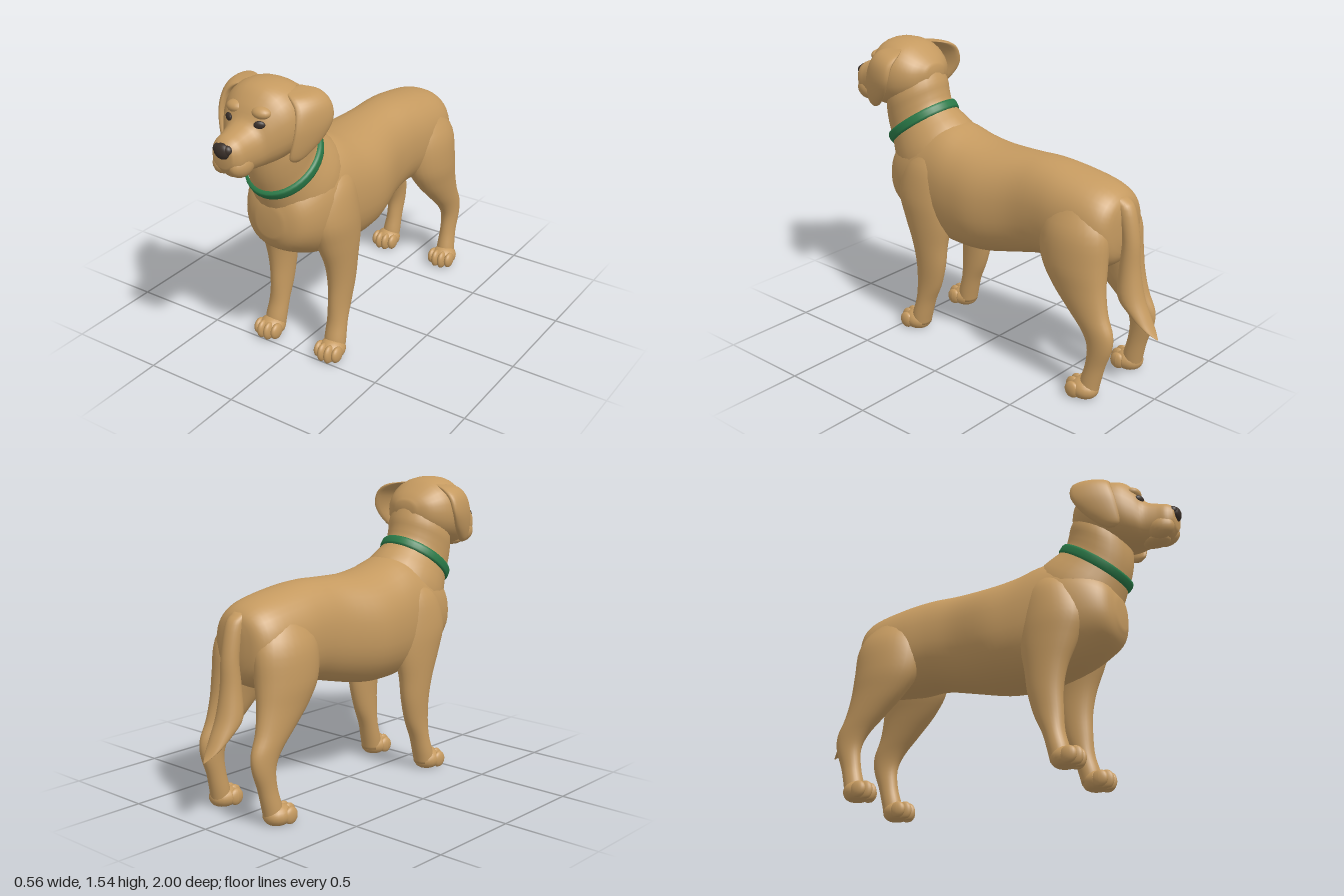
import * as THREE from 'three';

const mat = (name, color) => {
  const m = new THREE.MeshStandardMaterial({ color });
  m.name = name;
  return m;
};

// Smooth loft through sections [x, y, z, halfWidth, halfDepth, tilt].
// Tilt 0 puts a ring upright facing +z, PI/2 lays it flat facing down.
function loft(sections, { yaw = 0, power = 1, steps = 4, sides = 28 } = {}) {
  const curve = (pick) => new THREE.CatmullRomCurve3(
    sections.map((s) => new THREE.Vector3(...pick(s))), false, 'catmullrom', 0.5);
  const centers = curve((s) => s.slice(0, 3));
  const sizes = curve((s) => [s[3], s[4], s[5] ?? 0]);
  const rings = (sections.length - 1) * steps;
  const up = new THREE.Vector3(0, 1, 0);
  const round = (c) => Math.sign(c) * Math.abs(c) ** power;
  const pos = [], index = [];
  for (let i = 0; i <= rings; i++) {
    const c = centers.getPoint(i / rings), r = sizes.getPoint(i / rings);
    const u = new THREE.Vector3(1, 0, 0).applyAxisAngle(up, yaw);
    const v = new THREE.Vector3(0, Math.cos(r.z), Math.sin(r.z)).applyAxisAngle(up, yaw);
    for (let j = 0; j < sides; j++) {
      const a = (j / sides) * Math.PI * 2;
      const p = c.clone()
        .addScaledVector(u, round(Math.cos(a)) * Math.max(r.x, 0.002))
        .addScaledVector(v, round(Math.sin(a)) * Math.max(r.y, 0.002));
      pos.push(p.x, p.y, p.z);
      if (i < rings) {
        const k = i * sides + j, n = i * sides + ((j + 1) % sides);
        index.push(k, n, n + sides, k, n + sides, k + sides);
      }
    }
  }
  // End caps
  const first = pos.length / 3, last = first + 1, base = rings * sides;
  pos.push(...centers.getPoint(0).toArray(), ...centers.getPoint(1).toArray());
  for (let j = 0; j < sides; j++) {
    const n = (j + 1) % sides;
    index.push(first, n, j, last, base + j, base + n);
  }
  const g = new THREE.BufferGeometry();
  g.setAttribute('position', new THREE.Float32BufferAttribute(pos, 3));
  g.setIndex(index);
  g.computeVertexNormals();
  return g;
}

// Ellipsoid, flattened where it would pass below the ground
function ball(x, y, z, rx, ry, rz) {
  const g = new THREE.SphereGeometry(1, 20, 14).scale(rx, ry, rz).translate(x, y, z);
  const p = g.attributes.position;
  for (let i = 0; i < p.count; i++) p.setY(i, Math.max(0, p.getY(i)));
  g.computeVertexNormals();
  return g;
}

function mirrored(geometry) {
  const g = geometry.clone().scale(-1, 1, 1);
  g.index.array.reverse();
  g.computeVertexNormals();
  return g;
}

export function createModel() {
  const dog = new THREE.Group();
  dog.name = 'dog';
  const coat = mat('golden coat', 0xc59a60);
  const green = mat('green collar', 0x2a7a48);
  const dark = mat('dark nose and eyes', 0x3a302a);
  const add = (name, geometry, material = coat) => {
    const m = new THREE.Mesh(geometry, material);
    m.name = name;
    dog.add(m);
    return m;
  };
  const pair = (name, geometry, material) => {
    add(name + 'Left', geometry, material);
    add(name + 'Right', mirrored(geometry), material);
  };
  const flat = Math.PI / 2;

  // Lengthwise sections given as [z, top, bottom, halfWidth]
  const along = (list) => list.map(([z, t, b, w]) => [0, (t + b) / 2, z, w, (t - b) / 2, 0]);

  // Torso from rump to breast
  add('torso', loft(along([
    [-0.795, 0.93, 0.78, 0.05], [-0.77, 1.0, 0.68, 0.15], [-0.68, 1.05, 0.62, 0.2],
    [-0.5, 1.085, 0.6, 0.21], [-0.35, 1.1, 0.6, 0.2], [-0.2, 1.095, 0.565, 0.205],
    [0, 1.09, 0.52, 0.25], [0.15, 1.11, 0.51, 0.25], [0.3, 1.15, 0.52, 0.24],
    [0.45, 1.12, 0.565, 0.23], [0.56, 1.05, 0.62, 0.2], [0.63, 0.98, 0.67, 0.15],
    [0.665, 0.89, 0.74, 0.07],
  ]), { power: 0.9, sides: 36 }));

  // Neck rising forward from the shoulders
  add('neck', loft([
    [0, 0.82, 0.36, 0.2, 0.24, -0.9], [0, 0.97, 0.43, 0.215, 0.25, -0.92],
    [0, 1.1, 0.53, 0.17, 0.203, -0.94], [0, 1.18, 0.56, 0.168, 0.19, -1.02],
    [0, 1.26, 0.57, 0.17, 0.175, -1.1], [0, 1.37, 0.585, 0.14, 0.14, -1.2],
  ]));

  // Collar band
  const band = [[0.92, -0.024], [1.0, -0.024], [1.02, -0.012], [1.02, 0.012], [1.0, 0.024], [0.92, 0.024]];
  add('collar', new THREE.LatheGeometry(band.map((p) => new THREE.Vector2(...p)), 40)
    .scale(0.184, 1, 0.213).rotateX(0.635).translate(0, 1.1, 0.53), green);

  // Skull and muzzle
  const head = add('head', loft(along([
    [0.435, 1.42, 1.34, 0.06], [0.48, 1.47, 1.26, 0.14], [0.56, 1.525, 1.2, 0.19],
    [0.65, 1.54, 1.175, 0.2], [0.73, 1.525, 1.165, 0.18], [0.79, 1.465, 1.165, 0.14],
    [0.83, 1.4, 1.165, 0.108], [0.89, 1.375, 1.17, 0.09], [0.94, 1.36, 1.18, 0.08],
    [0.975, 1.335, 1.225, 0.05],
  ]), { power: 0.9 }));
  pair('upperLip', ball(0.042, 1.225, 0.895, 0.05, 0.06, 0.075));
  add('chin', ball(0, 1.18, 0.86, 0.055, 0.03, 0.075));
  pair('brow', ball(0.07, 1.435, 0.775, 0.05, 0.03, 0.04));

  // Nose with rounded wings
  add('nose', ball(0, 1.305, 0.968, 0.044, 0.038, 0.028), dark);
  pair('noseWing', ball(0.027, 1.312, 0.965, 0.024, 0.025, 0.022), dark);

  // Eyes seated on the surface of the face
  const ray = new THREE.Raycaster(new THREE.Vector3(0.085, 1.392, 2), new THREE.Vector3(0, 0, -1));
  const hit = ray.intersectObject(head)[0];
  const eyeZ = hit ? hit.point.z : 0.8;
  pair('eye', new THREE.SphereGeometry(1, 16, 12).scale(0.027, 0.019, 0.012)
    .rotateY(0.5).translate(0.085, 1.392, eyeZ), dark);

  // Hanging ears, swept forward toward the tips
  pair('ear', loft([
    [0.12, 1.505, 0.6, 0.02, 0.05, flat], [0.175, 1.49, 0.6, 0.04, 0.085, flat],
    [0.225, 1.445, 0.605, 0.032, 0.1, flat], [0.242, 1.37, 0.62, 0.026, 0.108, flat],
    [0.228, 1.29, 0.65, 0.024, 0.09, flat], [0.204, 1.225, 0.685, 0.02, 0.055, flat],
    [0.196, 1.2, 0.695, 0.008, 0.02, flat],
  ], { yaw: -0.28, sides: 20 }));

  // Front legs with shoulders
  pair('frontLeg', loft([
    [0.13, 1.03, 0.33, 0.06, 0.08, flat], [0.15, 0.93, 0.35, 0.095, 0.14, flat],
    [0.165, 0.78, 0.36, 0.103, 0.17, flat], [0.175, 0.65, 0.34, 0.088, 0.15, flat],
    [0.182, 0.52, 0.325, 0.07, 0.112, flat], [0.182, 0.4, 0.32, 0.06, 0.092, flat],
    [0.18, 0.28, 0.335, 0.053, 0.075, flat], [0.182, 0.18, 0.36, 0.052, 0.056, flat],
    [0.186, 0.09, 0.385, 0.056, 0.055, flat], [0.188, 0.03, 0.395, 0.055, 0.05, flat],
  ]));

  // Hind legs: thigh, hock and pastern
  pair('hindLeg', loft([
    [0.1, 0.98, -0.58, 0.07, 0.12, flat], [0.13, 0.84, -0.59, 0.113, 0.185, flat],
    [0.148, 0.68, -0.6, 0.11, 0.185, flat], [0.162, 0.56, -0.64, 0.085, 0.155, flat],
    [0.172, 0.45, -0.705, 0.064, 0.115, flat], [0.178, 0.36, -0.768, 0.05, 0.09, flat],
    [0.18, 0.28, -0.788, 0.044, 0.068, flat], [0.18, 0.18, -0.768, 0.042, 0.053, flat],
    [0.183, 0.09, -0.745, 0.048, 0.053, flat], [0.186, 0.03, -0.735, 0.05, 0.05, flat],
  ]));

  // Paws: a pad with four toes
  for (const [name, z] of [['front', 0.42], ['hind', -0.715]]) {
    pair(name + 'Paw', ball(0.19, 0.042, z, 0.068, 0.056, 0.075));
    [-0.053, -0.019, 0.019, 0.053].forEach((dx, i) => {
      const middle = Math.abs(dx) < 0.03;
      pair(name + 'Toe' + (i + 1),
        ball(0.19 + dx, 0.04, z + (middle ? 0.055 : 0.036), 0.022, middle ? 0.05 : 0.043, 0.042));
    });
  }

  // Tail hanging down with a swept-back tip
  add('tail', loft([
    [0, 1.0, -0.745, 0.04, 0.03, flat], [0, 0.95, -0.785, 0.046, 0.046, flat],
    [0, 0.8, -0.822, 0.045, 0.043, flat], [0, 0.65, -0.822, 0.052, 0.052, flat],
    [0, 0.51, -0.835, 0.066, 0.066, flat], [0, 0.43, -0.885, 0.058, 0.06, 1.3],
    [0, 0.37, -0.942, 0.04, 0.038, 1.1], [0, 0.325, -0.995, 0.006, 0.006, 1.0],
  ]));

  return dog;
}
